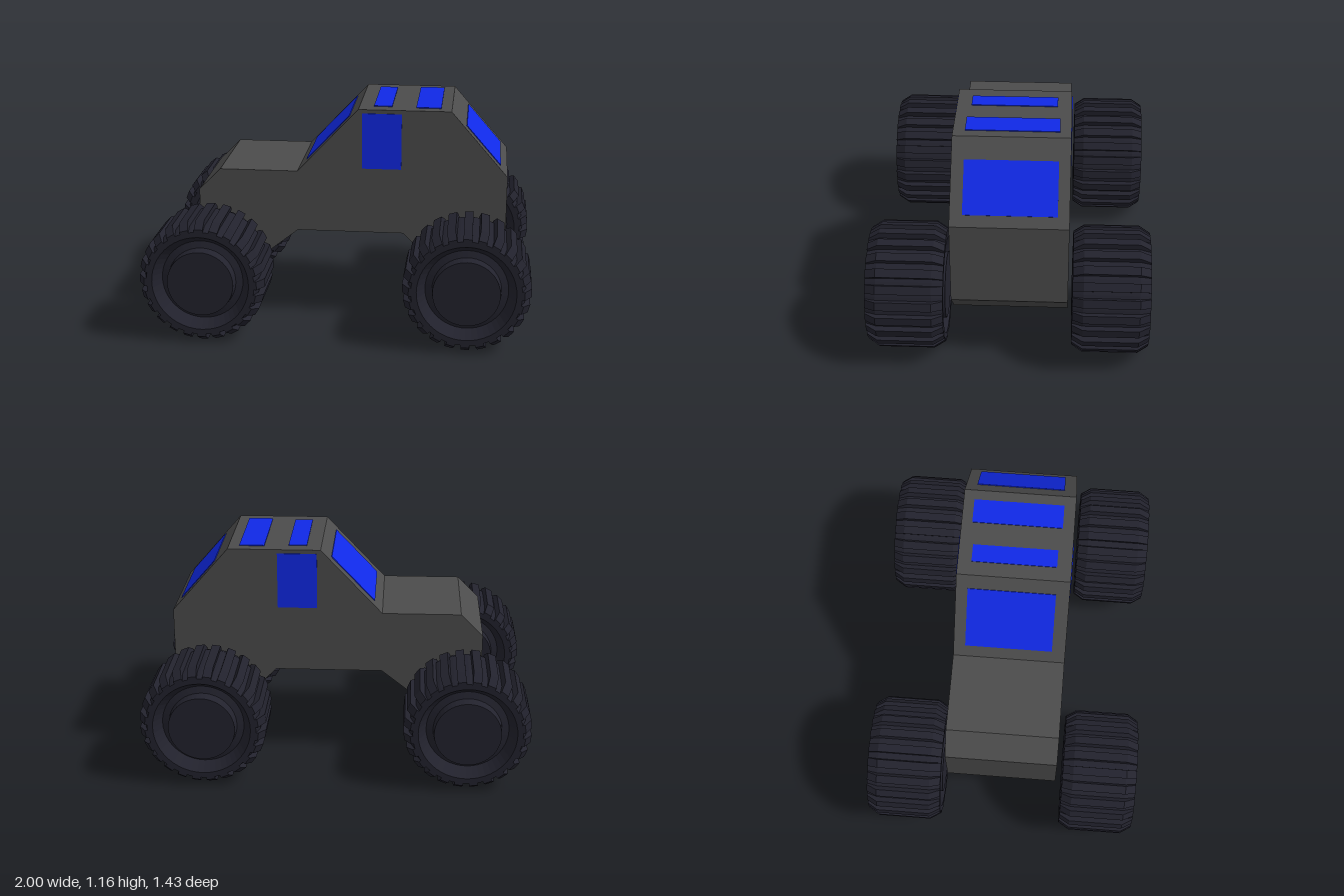
import * as THREE from 'three';
import { mergeGeometries } from 'three/addons/utils/BufferGeometryUtils.js';

const paint = (name, color) => {
  const m = new THREE.MeshStandardMaterial({ color, flatShading: true });
  m.name = name;
  return m;
};

const LUGS = 24;
const BODY_Z = -0.008;
const BODY_WIDTH = 0.586;

function named(name, geometry, material) {
  const mesh = new THREE.Mesh(geometry, material);
  mesh.name = name;
  return mesh;
}

// Tyre and hub as one turned profile, mirrored about the wheel's mid plane
function tyreGeometry() {
  const half = [
    [0, 0.197], [0.17, 0.197], [0.175, 0.14], [0.21, 0.13],
    [0.25, 0.195], [0.278, 0.195], [0.296, 0.14],
  ];
  const points = [
    ...half.map(([r, y]) => new THREE.Vector2(r, -y)),
    ...half.slice().reverse().map(([r, y]) => new THREE.Vector2(r, y)),
  ];
  return new THREE.LatheGeometry(points, 48).rotateX(Math.PI / 2);
}

// Ring of chamfered tread bars across the tyre
function treadGeometry() {
  const section = new THREE.Shape([
    [0.265, -0.195], [0.29, -0.195], [0.325, -0.14],
    [0.325, 0.14], [0.29, 0.195], [0.265, 0.195],
  ].map(([r, z]) => new THREE.Vector2(r, z)));
  const thickness = 0.044;
  const bars = [];
  for (let i = 0; i < LUGS; i++) {
    bars.push(new THREE.ExtrudeGeometry(section, { depth: thickness, bevelEnabled: false })
      .translate(0, 0, -thickness / 2)
      .rotateX(Math.PI / 2)
      .rotateZ((i / LUGS) * Math.PI * 2));
  }
  return mergeGeometries(bars);
}

export function createModel() {
  const car = new THREE.Group();
  car.name = 'buggy';
  const grey = paint('body grey', 0x4c4c4c);
  const blue = paint('window blue', 0x1029e8);
  const rubber = paint('tyre black', 0x22222d);

  // Body: side outline pushed across the width
  const outline = new THREE.Shape([
    [-0.755, 0.7], [-0.755, 0.36], [-0.56, 0.23], [-0.23, 0.49], [0.33, 0.49],
    [0.58, 0.23], [0.72, 0.23], [0.865, 0.375], [0.865, 0.815], [0.57, 1.155],
    [0.09, 1.155], [-0.23, 0.815], [-0.64, 0.815],
  ].map(([x, y]) => new THREE.Vector2(x, y)));
  const shell = new THREE.ExtrudeGeometry(outline, { depth: BODY_WIDTH, bevelEnabled: false });
  shell.translate(0, 0, BODY_Z - BODY_WIDTH / 2);
  car.add(named('body', shell, grey));

  // Panes lying on the cab's upper faces, given by their two ends in side view
  const pane = (name, x1, y1, x2, y2, zMin, zMax) => {
    const length = Math.hypot(x2 - x1, y2 - y1);
    const mesh = named(name, new THREE.BoxGeometry(length, 0.008, zMax - zMin), blue);
    mesh.position.set((x1 + x2) / 2, (y1 + y2) / 2, (zMin + zMax) / 2);
    mesh.rotation.z = Math.atan2(y2 - y1, x2 - x1);
    car.add(mesh);
  };
  pane('noseWindscreen', -0.187, 0.861, 0.038, 1.1, -0.24, 0.215);
  pane('narrowRoofWindow', 0.165, 1.155, 0.26, 1.155, -0.23, 0.21);
  pane('wideRoofWindow', 0.385, 1.155, 0.515, 1.155, -0.245, 0.225);
  pane('tailWindscreen', 0.646, 1.067, 0.826, 0.86, -0.243, 0.222);

  // Side windows
  for (const side of [1, -1]) {
    const mesh = named('sideWindow', new THREE.BoxGeometry(0.205, 0.295, 0.008), blue);
    mesh.position.set(0.2125, 0.9875, BODY_Z + side * BODY_WIDTH / 2);
    car.add(mesh);
  }

  // Four wheels; the far pair is turned by half a tread step
  const tyre = tyreGeometry();
  const tread = treadGeometry();
  for (const x of [-0.675, 0.675]) {
    for (const z of [0.514, -0.518]) {
      const wheel = new THREE.Group();
      wheel.name = 'wheel';
      wheel.add(named('tyre', tyre, rubber), named('tread', tread, rubber));
      wheel.position.set(x, 0.328, z);
      if (z < 0) wheel.rotation.z = Math.PI / LUGS;
      car.add(wheel);
    }
  }
  return car;
}
